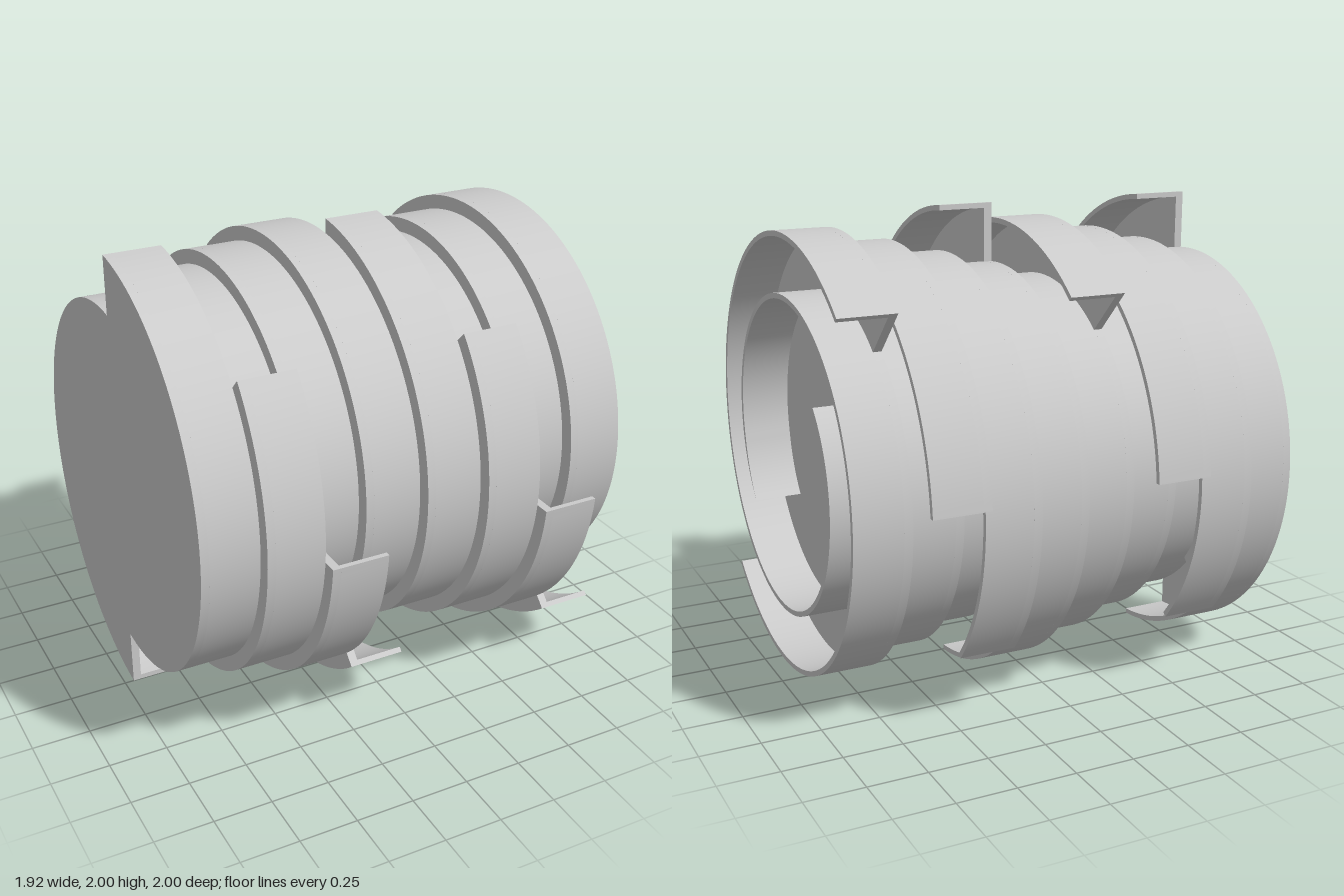
import * as THREE from 'three';
import { toCreasedNormals } from 'three/addons/utils/BufferGeometryUtils.js';

const LAYERS = 8, WIDTH = 0.24, PLATE = 0.035, WALL = 0.022;
const TURN = Math.PI * 2;

// Point on the spiral: t = 0 is the inner start, t = 1 the outer end one turn later (clockwise)
function spiralPoint(t, inset = 0, phase = 0) {
  const r = 0.5 + 0.5 * t - inset;
  const a = phase + (1 - t) * TURN;
  return new THREE.Vector2(r * Math.cos(a), r * Math.sin(a));
}

function extrude(points, depth, z) {
  const geo = new THREE.ExtrudeGeometry(new THREE.Shape(points), { depth, bevelEnabled: false });
  geo.translate(0, 0, z);
  return toCreasedNormals(geo, 0.5);
}

// Back plate: outer halves of the two spirals joined by radial steps
function plateGeometry() {
  const pts = [], n = 72;
  for (const phase of [0, -Math.PI])
    for (let i = 0; i <= n; i++) pts.push(spiralPoint(0.5 + 0.5 * i / n, 0, phase));
  return extrude(pts, PLATE, 0);
}

// Thin spiral wall, one full turn, tapering to a point at its inner end
function wallGeometry() {
  const outer = [], inner = [], n = 144, start = 0.022;
  for (let i = 0; i <= n; i++) {
    const t = start + (1 - start) * i / n;
    outer.push(spiralPoint(t));
    if (i > 0) inner.push(spiralPoint(t, WALL * Math.min(1, (t - start) / 0.09)));
  }
  return extrude([...outer, ...inner.reverse()], WIDTH - PLATE, PLATE);
}

export function createModel() {
  const model = new THREE.Group();
  model.name = 'spiralRotor';
  const mat = new THREE.MeshStandardMaterial({ color: 0xcccccc });
  const plateGeo = plateGeometry();
  const wallGeo = wallGeometry();

  // Stack of identical layers, each turned an eighth of a turn from the last
  const stack = new THREE.Group();
  stack.name = 'layerStack';
  for (let i = 0; i < LAYERS; i++) {
    const layer = new THREE.Group();
    layer.name = `layer${i + 1}`;
    const plate = new THREE.Mesh(plateGeo, mat);
    plate.name = 'backPlate';
    layer.add(plate);
    for (let k = 0; k < 2; k++) {
      const wall = new THREE.Mesh(wallGeo, mat);
      wall.name = `spiralWall${k + 1}`;
      wall.rotation.z = k * Math.PI;
      layer.add(wall);
    }
    layer.position.z = (i - LAYERS / 2) * WIDTH;
    layer.rotation.z = Math.PI / 2 + i * Math.PI / 4;
    stack.add(layer);
  }
  // Lay the stack axis along x and stand it on the ground
  stack.rotation.y = Math.PI / 2;
  stack.position.y = 1;
  model.add(stack);
  return model;
}
